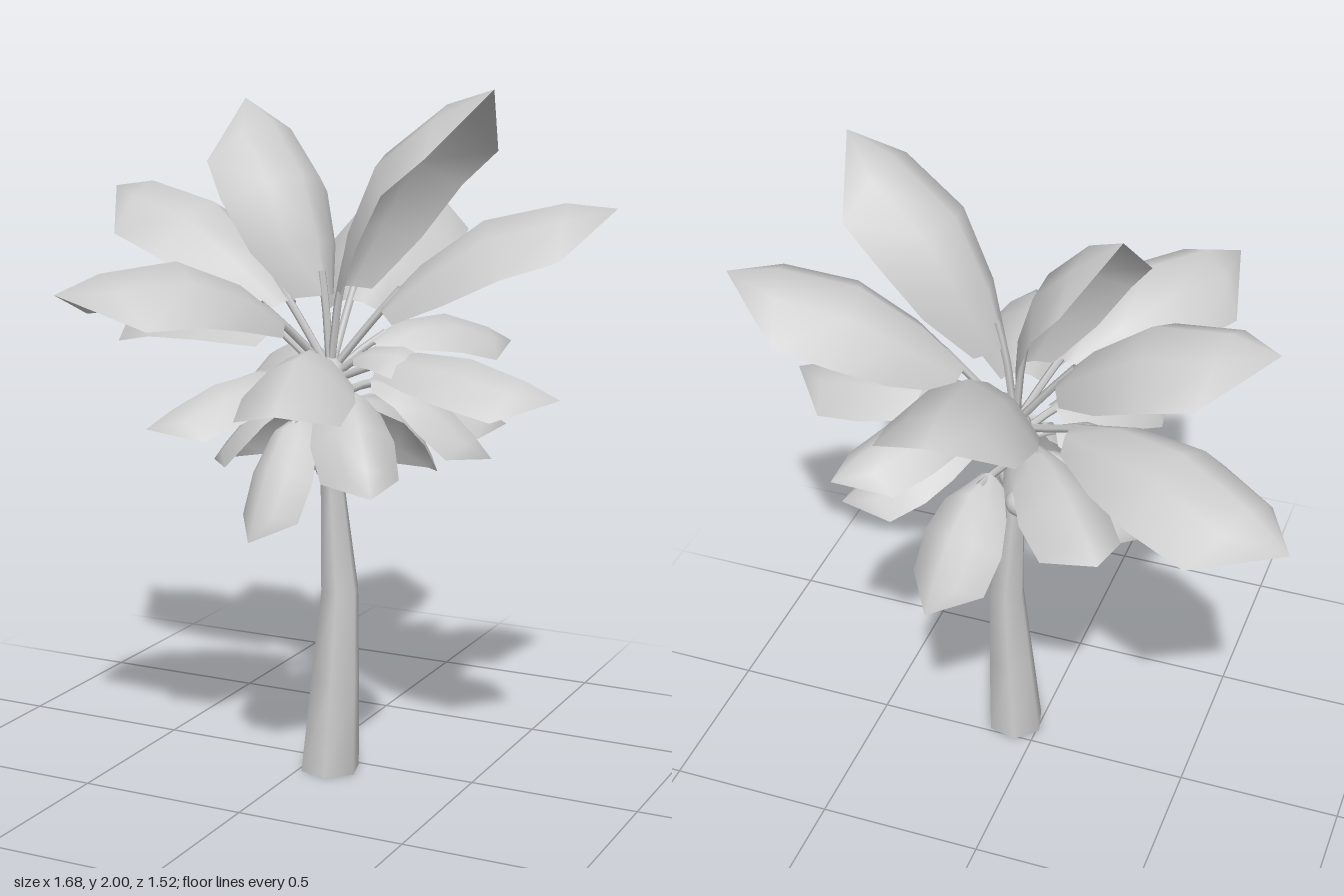
import * as THREE from 'three';
import { mergeVertices } from 'three/addons/utils/BufferGeometryUtils.js';

const V = (x, y, z) => new THREE.Vector3(x, y, z);

// Fronds: tip x, y, z, half width, height of the arch, and optional skew of the arch
const FRONDS = [
  // steep upper fronds
  [0.59, 2.0, 0.145, 0.205, 0.34, 0.6],
  [-0.29, 1.95, -0.11, 0.195, 0.3, 0.6],
  // big arching fronds
  [0.84, 1.67, -0.16, 0.205, 0.18],
  [-0.72, 1.68, -0.08, 0.205, 0.2],
  [0.01, 1.67, -0.76, 0.207, 0.18],
  [-0.84, 1.25, -0.35, 0.205, 0.17, 1.2],
  [-0.4, 1.47, 0.76, 0.207, 0.19],
  // middle fronds
  [0.25, 1.2, 0.76, 0.155, 0.12],
  [0.79, 1.18, 0.135, 0.15, 0.1],
  [0.43, 1.235, -0.435, 0.13, 0.125],
  [-0.34, 1.14, -0.43, 0.13, 0.08],
  [0.45, 1.21, 0.08, 0.095, 0.09],
  [-0.39, 1.01, 0.2, 0.125, 0.11],
  [-0.26, 1.08, 0.535, 0.125, 0.09],
  // lower drooping fronds
  [0.52, 0.955, -0.06, 0.12, 0.14],
  [0.36, 0.92, 0.41, 0.12, 0.15],
  [0.49, 1.02, -0.25, 0.12, 0.085],
  [-0.33, 0.89, 0.03, 0.12, 0.1],
  [0, 0.765, 0.435, 0.105, 0.165, 1.2],
  [0.17, 0.82, -0.425, 0.13, 0.14, 1.2],
];

// Blade cross-sections: [arc position, relative width]
const STATIONS = [[0.23, 0.38], [0.4, 0.8], [0.62, 1], [0.855, 0.92], [1, 0]];
const ACROSS = [-1, -0.5, 0, 0.5, 1];

// Blade with a rounded ridge, drooping to both sides
function bladeGeometry(spine, halfWidth, side) {
  const pos = [], index = [], n = ACROSS.length;
  for (const [u, w] of STATIONS) {
    const p = spine.getPointAt(u);
    const up = side.clone().cross(spine.getTangentAt(u)).normalize();
    for (const v of ACROSS) {
      const q = p.clone()
        .addScaledVector(side, v * w * halfWidth)
        .addScaledVector(up, -0.75 * w * halfWidth * Math.abs(v) ** 1.8);
      pos.push(q.x, q.y, q.z);
    }
  }
  for (let i = 0; i < STATIONS.length - 1; i++) {
    for (let j = 0; j < n - 1; j++) {
      const a = i * n + j, b = a + 1, c = a + n, d = c + 1;
      index.push(a, b, c, b, d, c);
    }
  }
  const strip = new THREE.BufferGeometry();
  strip.setAttribute('position', new THREE.Float32BufferAttribute(pos, 3));
  strip.setIndex(index);
  const g = mergeVertices(strip);
  g.computeVertexNormals();
  return g;
}

// Ridge line from the crown to the tip, arched above the straight line
function frondSpine(root, tip, arch, skew) {
  return new THREE.CatmullRomCurve3([0, 0.08, 0.28, 0.5, 0.76, 1].map((f) => {
    const p = root.clone().lerp(tip, f);
    p.y += arch * Math.sin(Math.PI * f ** skew);
    return p;
  }));
}

// Six-sided open trunk that follows a gentle bend: height, centre x, centre z, radius
function trunkGeometry() {
  const rings = [
    [0, 0.078, 0.075, 0.09], [0.28, 0.092, 0.07, 0.074], [0.55, 0.102, 0.062, 0.057],
    [0.85, 0.08, 0.064, 0.037], [1.2, 0.07, 0.06, 0.032],
  ];
  const tube = new THREE.CylinderGeometry(1, 1, 1, 6, rings.length - 1, true, Math.PI / 12);
  tube.deleteAttribute('uv');
  tube.deleteAttribute('normal');
  const g = mergeVertices(tube);
  const p = g.attributes.position;
  for (let i = 0; i < p.count; i++) {
    const [y, cx, cz, r] = rings[Math.round((p.getY(i) + 0.5) * (rings.length - 1))];
    p.setXYZ(i, cx + p.getX(i) * r, y, cz + p.getZ(i) * r);
  }
  g.computeVertexNormals();
  return g;
}

export function createModel() {
  const model = new THREE.Group();
  model.name = 'palmTree';
  const grey = new THREE.MeshStandardMaterial({ color: 0xcccccc, side: THREE.DoubleSide });
  grey.name = 'plain grey';

  const add = (parent, name, geometry) => {
    const mesh = new THREE.Mesh(geometry, grey);
    mesh.name = name;
    parent.add(mesh);
    return mesh;
  };

  add(model, 'trunk', trunkGeometry());

  // Bud where the stalks meet
  const bud = add(model, 'crownBud', new THREE.SphereGeometry(0.05, 10, 8));
  bud.position.set(0.07, 1.17, 0.06);
  bud.scale.y = 1.3;

  // Fronds, each a stalk and a blade on one curve; lower ones start lower on the crown
  for (const [x, y, z, halfWidth, arch, skew = 1] of FRONDS) {
    const frond = new THREE.Group();
    frond.name = 'frond';
    const root = V(0.07, Math.min(1.2, 0.88 + 0.25 * y), 0.06);
    const spine = frondSpine(root, V(x, y, z), arch, skew);
    const side = V(root.z - z, 0, x - root.x).normalize();
    add(frond, 'blade', bladeGeometry(spine, halfWidth, side));
    const stalk = new THREE.CatmullRomCurve3([0, 0.1, 0.2, 0.32].map((u) => {
      const p = spine.getPointAt(u);
      p.y -= 0.012;
      return p;
    }));
    add(frond, 'stalk', new THREE.TubeGeometry(stalk, 5, 0.012, 5));
    model.add(frond);
  }

  // Coconuts hanging under the crown
  const nuts = [[0.11, 0.935, 0.145], [0.15, 0.905, 0.06], [0.12, 0.885, -0.005], [0.04, 0.945, 0.01], [0.03, 0.95, 0.1]];
  for (const [x, y, z] of nuts) {
    add(model, 'coconut', new THREE.SphereGeometry(0.043, 12, 9)).position.set(x, y, z);
  }
  return model;
}
